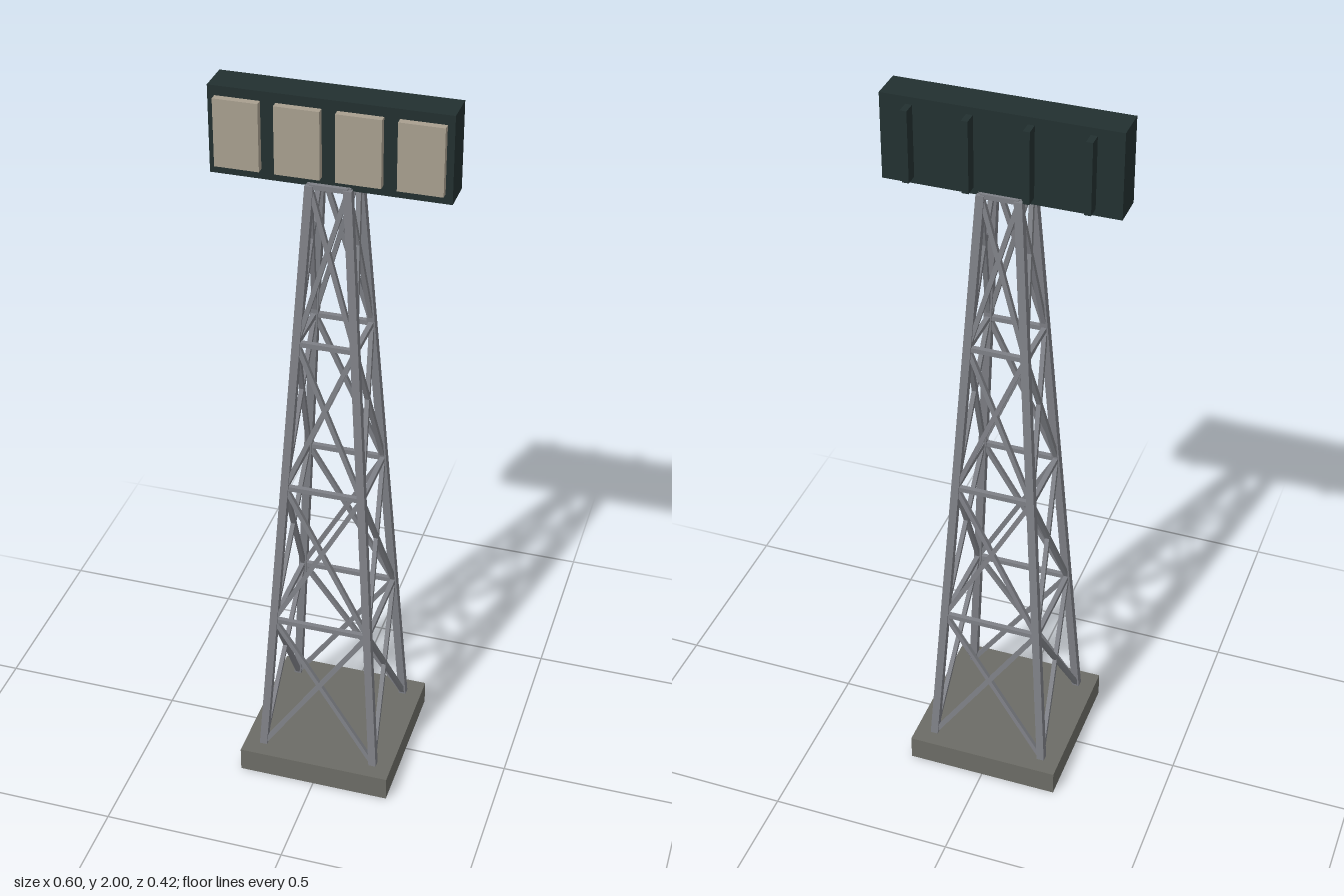
import * as THREE from 'three';

const concrete = new THREE.MeshStandardMaterial({ color: 0x6c6c66, side: THREE.DoubleSide });
concrete.name = 'concrete';
const steel = new THREE.MeshStandardMaterial({ color: 0x7e8086 });
steel.name = 'steel';
const casing = new THREE.MeshStandardMaterial({ color: 0x223030 });
casing.name = 'dark casing';
const lens = new THREE.MeshStandardMaterial({ color: 0xa89f8f });
lens.name = 'pale lens';

const FOOT = 0.07, TOP = 1.775, BAYS = 4;
// half spacing of the leg centres at height y
const spread = (y) => THREE.MathUtils.mapLinear(y, FOOT, TOP, 0.159, 0.048);

function box(name, material, size, position) {
  const mesh = new THREE.Mesh(new THREE.BoxGeometry(...size), material);
  mesh.name = name;
  mesh.position.set(...position);
  return mesh;
}

// square bar between two points of the tower face
function bar(name, a, b, thickness) {
  const dir = b.clone().sub(a);
  const mesh = box(name, steel, [thickness, dir.length(), thickness], [0, 0, 0]);
  mesh.position.copy(a).add(b).multiplyScalar(0.5);
  mesh.quaternion.setFromUnitVectors(new THREE.Vector3(0, 1, 0), dir.normalize());
  return mesh;
}

// leg with level ends and an axis-aligned section, leaning inwards
function leg(sx, sz) {
  const geometry = new THREE.BoxGeometry(0.021, TOP - FOOT + 0.005, 0.021);
  geometry.translate(0, (TOP + FOOT) / 2, 0);
  const p = geometry.attributes.position;
  for (let i = 0; i < p.count; i++) {
    const s = spread(p.getY(i));
    p.setX(i, p.getX(i) + sx * s);
    p.setZ(i, p.getZ(i) + sz * s);
  }
  geometry.computeVertexNormals();
  const mesh = new THREE.Mesh(geometry, steel);
  mesh.name = 'leg';
  return mesh;
}

// one lattice side: crossed braces in each bay and a rail above it
function latticeSide() {
  const side = new THREE.Group();
  side.name = 'latticeSide';
  const at = (s, y) => new THREE.Vector3(s * spread(y), y, spread(y));
  for (let i = 0; i < BAYS; i++) {
    const y0 = THREE.MathUtils.lerp(FOOT, TOP, i / BAYS);
    const y1 = THREE.MathUtils.lerp(FOOT, TOP, (i + 1) / BAYS);
    side.add(bar('rail', at(-1, y1), at(1, y1), 0.013));
    for (const s of [-1, 1]) side.add(bar('crossBrace', at(s, y0), at(-s, y1), 0.012));
  }
  return side;
}

export function createModel() {
  const model = new THREE.Group();
  model.name = 'floodlightTower';

  // footing, open underneath
  const footing = box('footing', concrete, [0.424, FOOT, 0.424], [0, FOOT / 2, 0]);
  const index = Array.from(footing.geometry.index.array);
  index.splice(18, 6);
  footing.geometry.setIndex(index);
  footing.geometry.clearGroups();
  model.add(footing);

  // lattice tower
  const tower = new THREE.Group();
  tower.name = 'tower';
  for (const sx of [-1, 1]) for (const sz of [-1, 1]) tower.add(leg(sx, sz));
  for (let i = 0; i < 4; i++) {
    const side = latticeSide();
    side.rotation.y = i * Math.PI / 2;
    tower.add(side);
  }
  model.add(tower);

  // lamp head with four lenses in front and four ribs behind
  const head = new THREE.Group();
  head.name = 'lampHead';
  head.add(box('housing', casing, [0.602, 0.227, 0.089], [0, 1.8865, -0.0015]));
  for (let i = 0; i < 4; i++) {
    const x = (i - 1.5) * 0.151;
    head.add(box('lens', lens, [0.113, 0.176, 0.021], [x, 1.887, 0.0515]));
    head.add(box('rearRib', casing, [0.017, 0.19, 0.036], [x, 1.886, -0.063]));
  }
  model.add(head);

  return model;
}
